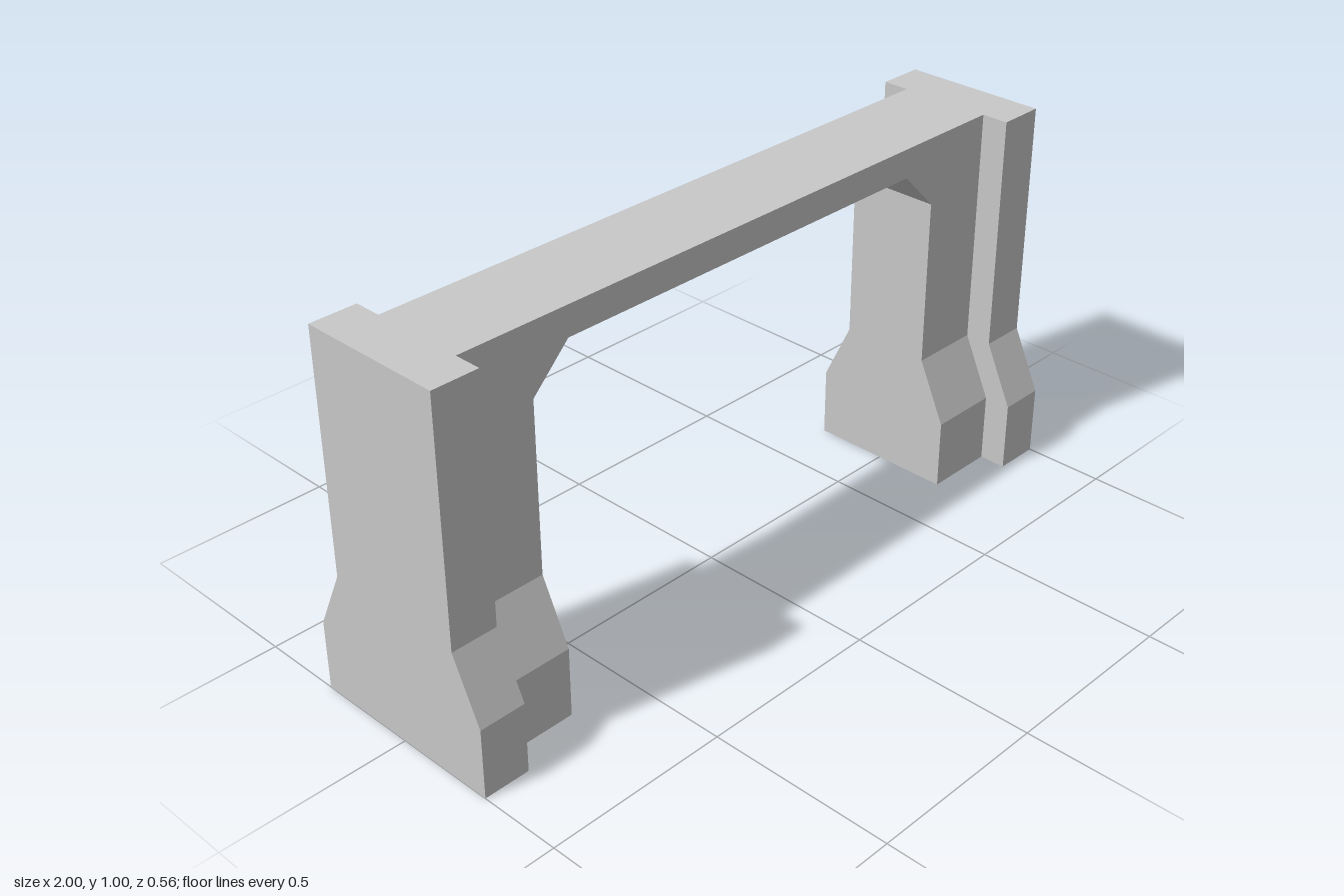
import * as THREE from 'three';

const HEIGHT = 1;
const FOOT_TOP = 0.19, FLARE_TOP = 0.357;

function polygon(points) {
  return new THREE.Shape(points.map(([x, y]) => new THREE.Vector2(x, y)));
}

// Pillar slab with a flared foot, running from x0 to x1
function pillarGeometry(x0, x1, halfTop, halfFoot) {
  const shape = polygon([
    [-halfFoot, 0], [halfFoot, 0], [halfFoot, FOOT_TOP], [halfTop, FLARE_TOP],
    [halfTop, HEIGHT], [-halfTop, HEIGHT], [-halfTop, FLARE_TOP], [-halfFoot, FOOT_TOP],
  ]);
  const geometry = new THREE.ExtrudeGeometry(shape, { depth: x1 - x0, bevelEnabled: false });
  return geometry.rotateY(Math.PI / 2).translate(x0, 0, 0);
}

export function createModel() {
  const model = new THREE.Group();
  model.name = 'archedBridge';
  const concrete = new THREE.MeshStandardMaterial({ color: 0xc8c8c8 });
  concrete.name = 'light grey concrete';

  const add = (parent, name, geometry) => {
    const mesh = new THREE.Mesh(geometry, concrete);
    mesh.name = name;
    parent.add(mesh);
  };

  // Stepped end supports: a wide outer pillar and a narrower inner one
  const inner = 0.676, step = 0.874, outer = 1;
  for (const [side, sign] of [['left', 1], ['right', -1]]) {
    const support = new THREE.Group();
    support.name = side + 'Support';
    const span = (a, b) => (sign > 0 ? [a, b] : [-b, -a]);
    add(support, side + 'OuterPillar', pillarGeometry(...span(step, outer), 0.199, 0.278));
    add(support, side + 'InnerPillar', pillarGeometry(...span(inner, step), 0.126, 0.204));
    model.add(support);
  }

  // Deck beam with angled haunches meeting the pillars
  const haunchX = 0.57, haunchY = 0.814, soffit = 0.921, half = 0.126;
  const deck = new THREE.ExtrudeGeometry(polygon([
    [-inner, haunchY], [-haunchX, soffit], [haunchX, soffit], [inner, haunchY],
    [inner, HEIGHT], [-inner, HEIGHT],
  ]), { depth: half * 2, bevelEnabled: false });
  add(model, 'deckBeam', deck.translate(0, 0, -half));

  return model;
}
